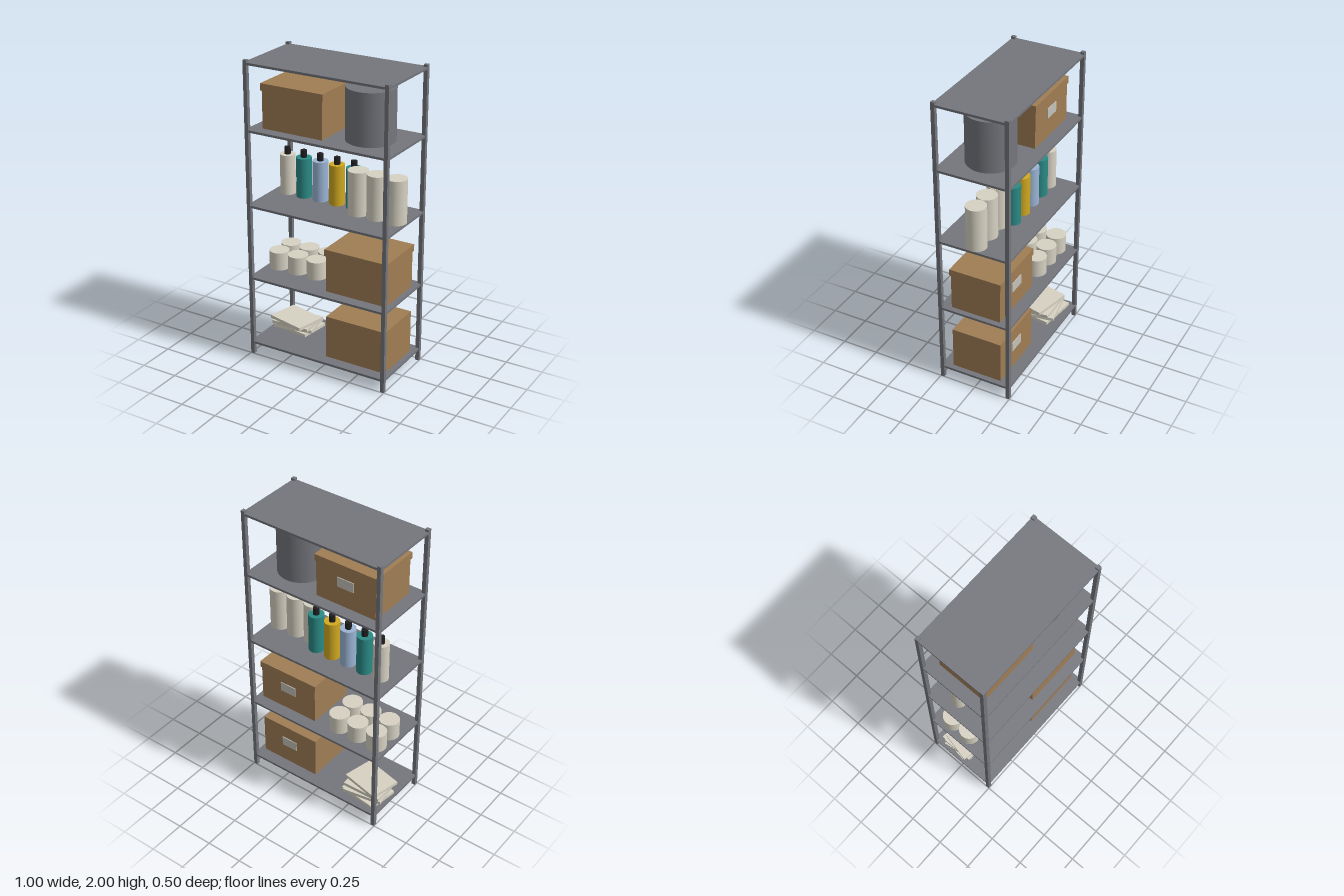
import * as THREE from 'three';

const mat = (color) => new THREE.MeshStandardMaterial({ color });
const metal = mat(0x74767c), card = mat(0xa07d54), cream = mat(0xd6d1c2), label = mat(0xc4c1b8);
const teal = mat(0x2a8a86), blue = mat(0x9ab4d4), yellow = mat(0xd0a820), black = mat(0x1e1e20);

export function createModel() {
  const root = new THREE.Group();

  const add = (parent, name, geometry, material, x, y, z) => {
    const mesh = new THREE.Mesh(geometry, material);
    mesh.name = name;
    mesh.position.set(x, y, z);
    parent.add(mesh);
    return mesh;
  };
  // Both helpers place a solid by the centre of its base
  const box = (parent, name, w, h, d, material, x, y, z) =>
    add(parent, name, new THREE.BoxGeometry(w, h, d), material, x, y + h / 2, z);
  const cylinder = (parent, name, r, h, material, x, y, z) =>
    add(parent, name, new THREE.CylinderGeometry(r, r, h, 40), material, x, y + h / 2, z);
  const group = (name) => {
    const g = new THREE.Group();
    g.name = name;
    root.add(g);
    return g;
  };

  // Frame: four posts and five shelves
  const frame = group('frame');
  for (const sx of [-1, 1])
    for (const sz of [-1, 1])
      box(frame, 'post', 0.026, 2, 0.026, metal, sx * 0.487, 0, sz * 0.237);
  const floors = [0.09, 0.558, 1.058, 1.558, 1.985];
  for (const top of floors)
    box(frame, 'shelf', 0.996, 0.015, 0.496, metal, 0, top - 0.015, 0);

  // Cardboard boxes with a label on the back, two of them with a lid
  const carton = (x, y, lidded) => {
    const g = group('cardboardBox');
    box(g, 'boxBody', 0.428, 0.288, 0.342, card, x, y, 0.003);
    box(g, 'boxLabel', 0.115, 0.066, 0.006, label, x, y + 0.128, -0.17);
    if (lidded) box(g, 'boxLid', 0.443, 0.045, 0.355, card, x, y + 0.245, 0.003);
  };
  carton(0.248, floors[0], false);
  carton(0.248, floors[1], true);
  carton(-0.203, floors[3], true);

  // Drum on the upper shelf
  cylinder(root, 'drum', 0.155, 0.336, metal, 0.248, floors[3], 0.002);

  // Bottles with caps
  [cream, teal, blue, yellow, teal].forEach((material, i) => {
    const g = group('bottle');
    const x = -0.393 + i * 0.122;
    cylinder(g, 'bottleBody', 0.05, 0.266, material, x, floors[2], -0.064);
    cylinder(g, 'bottleCap', 0.02, 0.047, black, x, floors[2] + 0.266, -0.064);
  });

  // Tall canisters and two rows of short cans
  for (let i = 0; i < 3; i++) {
    cylinder(root, 'canister', 0.066, 0.288, cream, 0.165 + i * 0.134, floors[2], 0.004);
    for (const z of [0.02, -0.12])
      cylinder(root, 'can', 0.066, 0.122, cream, -0.413 + i * 0.143, floors[1], z);
  }

  // Loose stack of folded cloths, each turned a little
  const stack = group('clothStack');
  const turns = [-0.14, 0.16, 0.02, -0.23];
  const depths = [-0.088, -0.08, -0.065, -0.05];
  turns.forEach((turn, i) => {
    box(stack, 'cloth', 0.27, 0.0215, 0.21, cream, -0.335, floors[0] + i * 0.022, depths[i]).rotation.y = turn;
  });

  return root;
}
